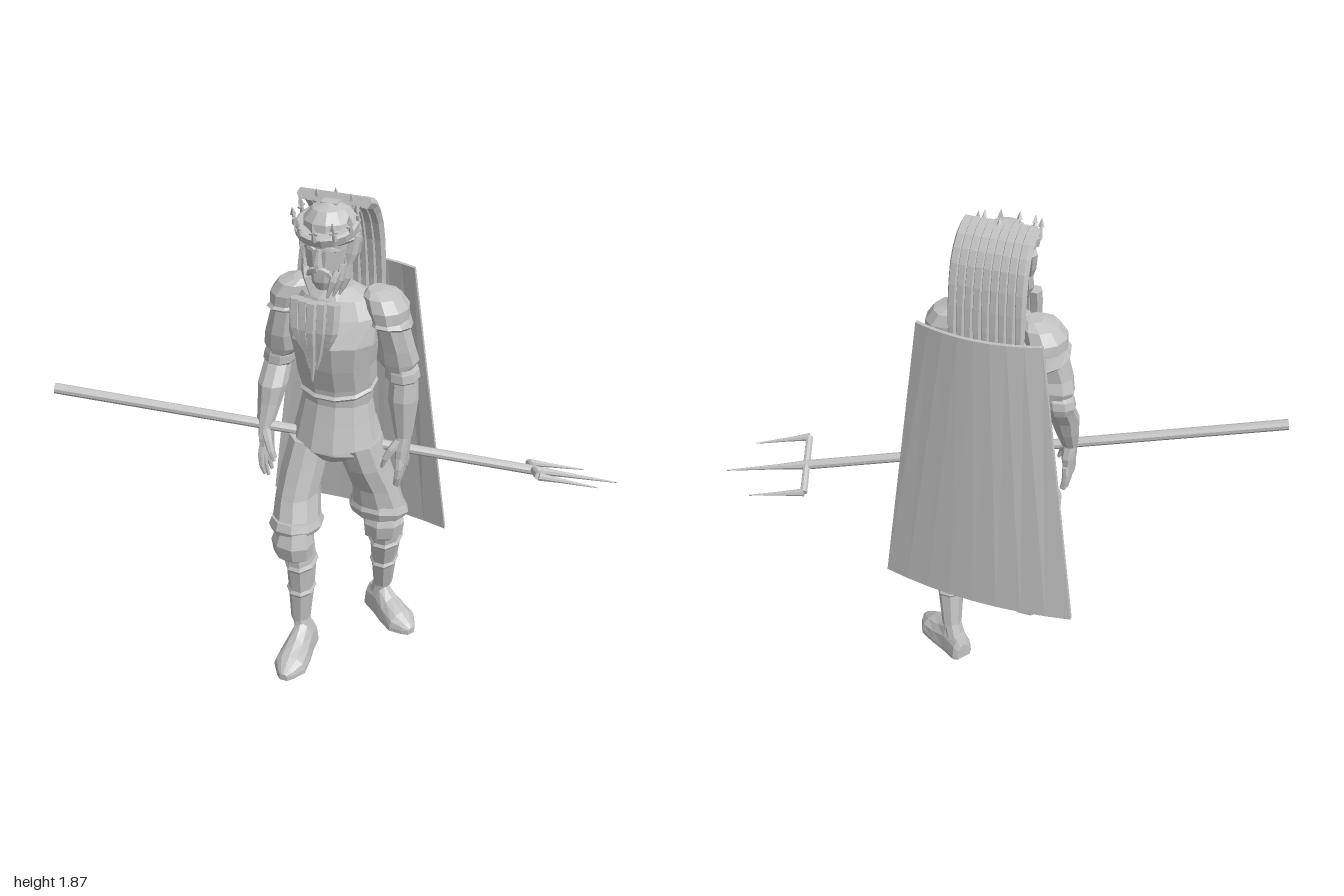
import * as THREE from 'three';

const V = (x, y, z) => new THREE.Vector3(x, y, z);

export function createModel() {
  const model = new THREE.Group();
  const grey = new THREE.MeshStandardMaterial({ color: 0xc2c2c2 });
  grey.name = 'stone grey';

  // Adds a faceted mesh to a parent
  const add = (name, geo, parent = model) => {
    const g = geo.index ? geo.toNonIndexed() : geo;
    g.computeVertexNormals();
    const m = new THREE.Mesh(g, grey);
    m.name = name;
    parent.add(m);
    return m;
  };

  // Closed skin over a row of rings, turned so faces look outward
  const skin = (rings) => {
    const n = rings[0].length, last = rings.length - 1, tris = [];
    const mid = (r) => r.reduce((s, p) => s.add(p), V(0, 0, 0)).divideScalar(n);
    const c0 = mid(rings[0]), c1 = mid(rings[last]);
    for (let j = 0; j < n; j++) {
      const k = (j + 1) % n;
      for (let i = 0; i < last; i++) {
        const [a, b, c, d] = [rings[i][j], rings[i][k], rings[i + 1][k], rings[i + 1][j]];
        tris.push([a, b, c], [a, c, d]);
      }
      tris.push([c0, rings[0][k], rings[0][j]], [c1, rings[last][j], rings[last][k]]);
    }
    let vol = 0;
    for (const [a, b, c] of tris) vol += a.clone().sub(c0).dot(b.clone().sub(c0).cross(c.clone().sub(c0)));
    const pts = tris.flatMap(([a, b, c]) => (vol < 0 ? [a, c, b] : [a, b, c]));
    return new THREE.BufferGeometry().setFromPoints(pts);
  };

  // Stack of level ellipses: [x, y, z, rx, rz, front sag]
  const stack = (name, rows, n = 10, parent = model) =>
    add(name, skin(rows.map(([x, y, z, rx, rz, sag = 0]) => Array.from({ length: n }, (_, j) => {
      const a = ((j + 0.5) / n) * Math.PI * 2;
      return V(x + rx * Math.sin(a), y - sag * Math.cos(a), z + rz * Math.cos(a));
    }))), parent);

  // Tapered round strand through points
  const strand = (name, pts, radii, n = 6, steps = 6, parent = model) => {
    const curve = new THREE.CatmullRomCurve3(pts.map((p) => V(...p)));
    const f = curve.computeFrenetFrames(steps);
    const rings = [];
    for (let i = 0; i <= steps; i++) {
      const t = (i / steps) * (radii.length - 1), k = Math.min(Math.floor(t), radii.length - 2);
      const r = THREE.MathUtils.lerp(radii[k], radii[k + 1], t - k);
      const p = curve.getPoint(i / steps);
      rings.push(Array.from({ length: n }, (_, j) => {
        const a = (j / n) * Math.PI * 2;
        return p.clone().addScaledVector(f.normals[i], r * Math.cos(a)).addScaledVector(f.binormals[i], r * Math.sin(a));
      }));
    }
    return add(name, skin(rings), parent);
  };

  // Torso: flared tunic, breastplate with sagging lower rim
  stack('tunic', [[0, 0.96, 0, 0.165, 0.15, 0.03], [0, 1.03, 0, 0.145, 0.12], [0, 1.1, -0.005, 0.132, 0.105],
    [0, 1.2, 0, 0.14, 0.105], [0, 1.3, 0.01, 0.15, 0.11]], 12);
  stack('breastplate', [[0, 1.17, 0, 0.142, 0.112, 0.03], [0, 1.195, 0, 0.148, 0.115, 0.025], [0, 1.27, 0.018, 0.15, 0.122, 0.01],
    [0, 1.36, 0.025, 0.165, 0.135], [0, 1.45, 0.005, 0.165, 0.115], [0, 1.51, 0, 0.13, 0.09], [0, 1.54, 0, 0.06, 0.06]], 12);
  stack('breastplateRim', [[0, 1.16, 0, 0.145, 0.114, 0.03], [0, 1.17, 0, 0.152, 0.122, 0.03], [0, 1.18, 0, 0.145, 0.114, 0.03]], 12);
  stack('hips', [[0, 0.86, 0.01, 0.07, 0.08], [0, 0.91, 0.01, 0.165, 0.12], [0, 1.0, 0, 0.145, 0.11]], 12);

  // Legs: breeches with hem, knee guard, banded greave, shoe
  const leg = (name, thigh, shin, knee, foot) => {
    const g = new THREE.Group();
    g.name = name;
    model.add(g);
    stack('thigh', thigh, 10, g);
    const [hx, hy, hz, hrx, hrz] = thigh[0];
    stack('breechesHem', [[hx, hy - 0.03, hz, hrx, hrz, 0], [hx, hy - 0.01, hz, hrx + 0.012, hrz + 0.012, -0.02],
      [hx, hy + 0.02, hz, hrx, hrz, -0.02]], 10, g);
    stack('greave', shin, 8, g);
    for (const i of [1, 2]) {
      const [x, y, z, rx, rz] = shin[i];
      stack('greaveBand', [[x, y - 0.014, z, rx, rz, 0.01], [x, y, z, rx + 0.008, rz + 0.008, 0.01],
        [x, y + 0.014, z, rx, rz, 0.01]], 8, g);
    }
    const [kx, kz, yaw] = knee;
    const pad = stack('kneeGuard', [[0, 0.475, 0, 0.05, 0.045], [0, 0.495, 0.005, 0.078, 0.06], [0, 0.555, 0.01, 0.083, 0.066],
      [0, 0.61, 0, 0.066, 0.055]], 8, g);
    pad.position.set(kx, 0, kz);
    pad.rotation.y = yaw;
    const [fx, fz, turn] = foot;
    const shoe = add('shoe', skin([[-0.055, 0.03, 0.07], [-0.04, 0.045, 0.11], [0.03, 0.05, 0.135], [0.09, 0.06, 0.095],
      [0.16, 0.064, 0.07], [0.205, 0.035, 0.045], [0.225, 0.015, 0.03]].map(([z, w, h]) => {
      const top = Array.from({ length: 7 }, (_, i) => V(w * Math.cos((i * Math.PI) / 6), 0.018 + (h - 0.018) * Math.sin((i * Math.PI) / 6), z));
      return [V(w, 0, z), ...top, V(-w, 0, z)];
    })), g);
    shoe.position.set(fx, 0, fz);
    shoe.rotation.y = turn;
    const [ax, ay, az] = shin[0];
    stack('ankle', [[fx, 0.09, fz, 0.036, 0.045], [ax, ay + 0.02, az, 0.034, 0.038]], 8, g);
  };
  leg('rightLeg',
    [[-0.105, 0.61, 0.145, 0.09, 0.112], [-0.115, 0.72, 0.105, 0.08, 0.105], [-0.105, 0.83, 0.06, 0.083, 0.11], [-0.09, 0.94, 0.02, 0.08, 0.11]],
    [[-0.09, 0.14, 0.16, 0.038, 0.042], [-0.084, 0.3, 0.16, 0.05, 0.055], [-0.082, 0.43, 0.16, 0.056, 0.07], [-0.09, 0.52, 0.16, 0.055, 0.072], [-0.1, 0.6, 0.15, 0.06, 0.08]],
    [-0.092, 0.205, -0.1], [-0.075, 0.163, 0.05]);
  leg('leftLeg',
    [[0.145, 0.61, -0.07, 0.11, 0.085], [0.135, 0.72, -0.05, 0.09, 0.085], [0.11, 0.83, -0.02, 0.085, 0.1], [0.09, 0.94, 0, 0.08, 0.11]],
    [[0.135, 0.14, -0.17, 0.038, 0.042], [0.15, 0.3, -0.135, 0.05, 0.058], [0.165, 0.43, -0.105, 0.06, 0.07], [0.168, 0.52, -0.085, 0.06, 0.072], [0.16, 0.6, -0.07, 0.065, 0.075]],
    [0.172, -0.055, 0.45], [0.115, -0.18, 1.0]);

  // Arms: pauldron, sleeve, elbow band, bracer and open hand
  const arm = (name, s, dz) => {
    const g = new THREE.Group();
    g.name = name;
    model.add(g);
    const z1 = -0.05 + dz * 0.3, z2 = -0.03 + dz;
    stack('pauldron', [[s * 0.197, 1.4, -0.02, 0.06, 0.085, -0.02], [s * 0.195, 1.412, -0.02, 0.074, 0.1, -0.02], [s * 0.19, 1.44, -0.02, 0.066, 0.09],
      [s * 0.18, 1.48, -0.02, 0.075, 0.092], [s * 0.16, 1.52, -0.02, 0.066, 0.075], [s * 0.14, 1.538, -0.02, 0.03, 0.04]], 10, g);
    stack('sleeve', [[s * 0.22, 1.24, z1, 0.055, 0.055, 0.01], [s * 0.212, 1.27, z1, 0.078, 0.063, 0.01], [s * 0.208, 1.32, z1 + 0.01, 0.07, 0.064],
      [s * 0.185, 1.45, -0.02, 0.06, 0.075]], 9, g);
    stack('elbowBand', [[s * 0.235, 1.185, z1, 0.052, 0.05], [s * 0.232, 1.205, z1, 0.064, 0.06, 0.01], [s * 0.228, 1.235, z1, 0.062, 0.058, 0.01],
      [s * 0.225, 1.26, z1, 0.05, 0.05]], 9, g);
    stack('bracer', [[s * 0.25, 0.97, z2, 0.032, 0.034], [s * 0.245, 1.05, z2 * 0.7 + z1 * 0.3, 0.045, 0.045], [s * 0.24, 1.12, (z1 + z2) / 2, 0.056, 0.054],
      [s * 0.238, 1.2, z1, 0.052, 0.05]], 9, g);
    stack('palm', [[s * 0.248, 0.865, z2 + 0.005, 0.02, 0.045], [s * 0.248, 0.92, z2, 0.027, 0.046], [s * 0.25, 0.98, z2, 0.028, 0.03]], 8, g);
    for (let i = 0; i < 4; i++) {
      const z = z2 + (i - 1.5) * 0.025, drop = [0.79, 0.76, 0.75, 0.775][i];
      strand('finger', [[s * 0.248, 0.885, z], [s * 0.25, 0.83, z + 0.005 + (i - 1.5) * 0.006], [s * 0.238, drop, z + (i - 1.5) * 0.006]],
        [0.014, 0.013, 0.007], 6, 3, g);
    }
    strand('thumb', [[s * 0.24, 0.95, z2 + 0.02], [s * 0.21, 0.905, z2 + 0.055], [s * 0.19, 0.85, z2 + 0.06]], [0.018, 0.014, 0.007], 6, 3, g);
  };
  arm('leftArm', 1, 0);
  arm('rightArm', -1, 0.12);

  // Head: neck, face, helmet
  const head = new THREE.Group();
  head.name = 'head';
  head.position.x = -0.01;
  model.add(head);
  stack('neck', [[0, 1.5, 0, 0.06, 0.055], [0, 1.54, 0, 0.05, 0.045], [0, 1.63, 0, 0.05, 0.05]], 8, head);
  stack('face', [[0, 1.56, 0.09, 0.025, 0.03], [0, 1.59, 0.07, 0.055, 0.062], [0, 1.64, 0.055, 0.07, 0.077], [0, 1.7, 0.05, 0.078, 0.083],
    [0, 1.75, 0.05, 0.08, 0.088]], 10, head);
  stack('helmet', [[0, 1.61, -0.01, 0.065, 0.05], [0, 1.65, -0.02, 0.085, 0.065], [0, 1.7, -0.005, 0.096, 0.088], [0, 1.75, 0.025, 0.1, 0.112],
    [0, 1.79, 0.03, 0.09, 0.1], [0, 1.825, 0.03, 0.06, 0.07], [0, 1.84, 0.03, 0.02, 0.025]], 12, head);
  stack('helmetRim', [[0, 1.722, 0.035, 0.092, 0.1], [0, 1.735, 0.04, 0.103, 0.113], [0, 1.75, 0.04, 0.095, 0.105]], 12, head);
  stack('nose', [[0, 1.648, 0.135, 0.017, 0.022], [0, 1.66, 0.135, 0.014, 0.02], [0, 1.71, 0.127, 0.008, 0.01]], 6, head);
  for (const s of [-1, 1]) {
    strand('brow', [[s * 0.012, 1.703, 0.133], [s * 0.035, 1.712, 0.125], [s * 0.062, 1.7, 0.1]], [0.008, 0.01, 0.005], 5, 4, head);
    strand('moustache', [[0, 1.64, 0.137], [s * 0.03, 1.63, 0.13], [s * 0.05, 1.59, 0.115]], [0.012, 0.011, 0.004], 5, 4, head);
    strand('cheekGuard', [[s * 0.092, 1.74, 0.04], [s * 0.084, 1.68, 0.055], [s * 0.068, 1.61, 0.075]], [0.022, 0.02, 0.006], 6, 4, head);
    for (let i = 0; i < 3; i++) {
      const z = 0.06 + i * 0.023;
      strand('jawLock', [[s * (0.075 - i * 0.009), 1.67 - i * 0.02, z], [s * (0.075 - i * 0.014), 1.6, z + 0.012],
        [s * (0.055 - i * 0.013), 1.54, z + 0.025]], [0.014, 0.017, 0.004], 5, 4, head);
    }
  }

  // Long beard of tapering locks
  for (let i = -2; i <= 2; i++) {
    const k = Math.abs(i), x = i * 0.033;
    strand('beardLock', [[x, 1.54, 0.178 - k * 0.008], [x * 0.97, 1.44, 0.192 - k * 0.008], [x * 0.7, 1.35 + k * 0.02, 0.188 - k * 0.006],
      [x * 0.4, 1.25 + k * 0.045, 0.192 - k * 0.006]], [0.026, 0.024, 0.017, 0.003], 6, 6, head);
  }

  // Tilted crown with pointed finials
  const crown = new THREE.Group();
  crown.name = 'crown';
  crown.position.set(0, 1.77, 0.062);
  crown.rotation.x = 0.3;
  head.add(crown);
  stack('crownBand', [[0, -0.02, 0, 0.099, 0.096], [0, -0.015, 0, 0.107, 0.103], [0, 0.012, 0, 0.11, 0.105], [0, 0.016, 0, 0.1, 0.096]], 16, crown);
  for (let i = 0; i < 10; i++) {
    const spike = new THREE.Group();
    const a = (i / 10) * Math.PI * 2;
    spike.name = 'crownFinial';
    spike.position.set(0.105 * Math.sin(a), 0, 0.1 * Math.cos(a));
    spike.rotation.y = a;
    crown.add(spike);
    add('finialStem', new THREE.CylinderGeometry(0.004, 0.01, 0.045, 5), spike).position.y = 0.03;
    add('finialTip', new THREE.ConeGeometry(0.011, 0.03, 4), spike).position.y = 0.062;
    add('finialArms', new THREE.BoxGeometry(0.028, 0.006, 0.008), spike).position.y = 0.036;
  }

  // Sweeping crest of side-by-side plumes
  for (let i = 0; i < 9; i++) {
    const u = (i - 4) / 4, x = -0.01 + u * 0.112;
    strand('crestPlume', [[x, 1.842, 0.005], [x, 1.815, -0.055], [x * 1.02, 1.74, -0.105], [x * 1.05, 1.6, -0.133],
      [x * 1.08, 1.45, -0.142], [x * 1.1, 1.32, -0.138]], [0.022, 0.022, 0.022, 0.02, 0.015, 0.007], 6, 10);
  }
  add('crestBase', new THREE.BoxGeometry(0.06, 0.03, 0.07)).position.set(-0.01, 1.825, 0.015);

  // Stiff bowed cape
  add('cape', skin(Array.from({ length: 9 }, (_, i) => {
    const u = i / 4 - 1, bow = 0.042 * (1 - u * u), c = -0.012;
    const top = -0.198 - bow, low = -0.242 - bow;
    return [V(c + u * 0.222, 1.55, top), V(c + u * 0.222, 1.55, top - 0.014), V(c + u * 0.377, 0.43, low - 0.014), V(c + u * 0.377, 0.43, low)];
  })));

  // Trident
  const trident = new THREE.Group();
  trident.name = 'trident';
  model.add(trident);
  const rod = (name, a, b, r0, r1, n = 8) => strand(name, [a, b], [r0, r1], n, 2, trident);
  const A = [0.66, 0.777, -0.32], B = [0.743, 0.868, -0.107], C = [0.7, 0.82, -0.213];
  rod('shaft', [-0.99, 1.082, 0.34], C, 0.02, 0.018, 10);
  rod('crossbar', A, B, 0.014, 0.014);
  rod('outerProng', A, [0.86, 0.755, -0.388], 0.015, 0.002);
  rod('outerProng', B, [0.945, 0.83, -0.176], 0.015, 0.002);
  rod('middleProng', C, [1.0, 0.78, -0.313], 0.018, 0.002);
  return model;
}
